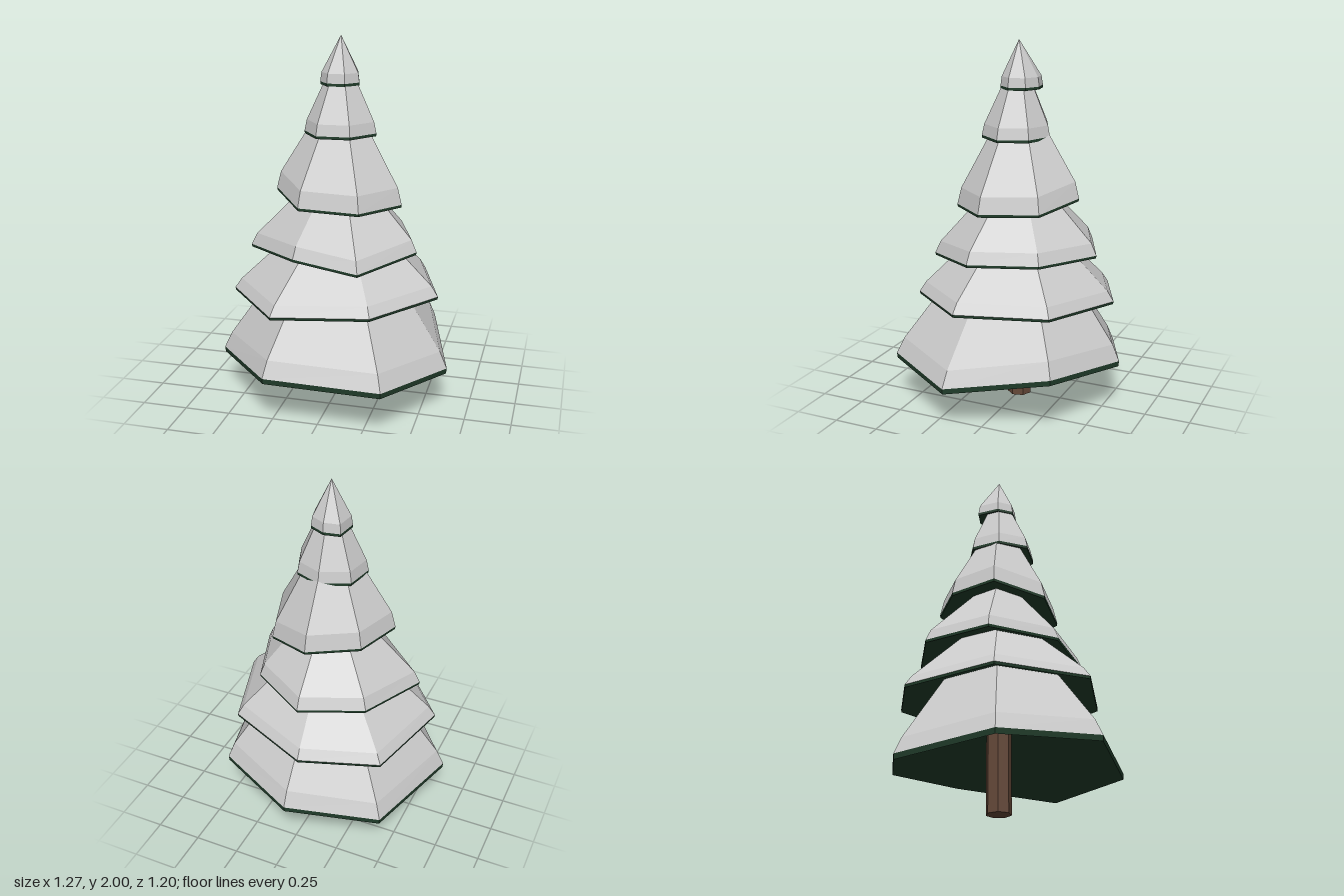
import * as THREE from 'three';

const snow = new THREE.MeshStandardMaterial({ color: 0xcccccc, flatShading: true });
const green = new THREE.MeshStandardMaterial({ color: 0x213e2b, flatShading: true });
const bark = new THREE.MeshStandardMaterial({ color: 0x654838, flatShading: true });
const SIDES = 7;

// Each tier: rim corners [x, z] clockwise from the back, rim heights, rim thickness,
// shoulder rise and the height where its slopes meet.
const tiers = [
  { rim: [[0.02, -0.6], [0.48, -0.385], [0.635, 0.16], [0.36, 0.595], [-0.27, 0.6], [-0.64, 0.165], [-0.465, -0.4]],
    y: [0.265, 0.3, 0.215, 0.24, 0.25, 0.205, 0.185], thick: 0.03, rise: 0.09, peak: 1.2 },
  { rim: [[-0.04, -0.54], [0.42, -0.35], [0.57, 0.125], [0.275, 0.485], [-0.24, 0.545], [-0.575, 0.14], [-0.445, -0.365]],
    y: [0.595, 0.62, 0.625, 0.61, 0.59, 0.58, 0.565], thick: 0.015, rise: 0.055, peak: 1.17 },
  { rim: [[0, -0.45], [0.32, -0.25], [0.445, 0.105], [0.195, 0.425], [-0.165, 0.37], [-0.49, 0.085], [-0.33, -0.305]],
    y: [0.855, 0.86, 0.86, 0.82, 0.855, 0.825, 0.855], thick: 0.015, rise: 0.065, peak: 1.38 },
  { rim: [[0, -0.345], [0.25, -0.22], [0.355, 0.08], [0.17, 0.295], [-0.155, 0.3], [-0.34, 0.07], [-0.25, -0.19]],
    y: [1.16, 1.115, 1.11, 1.105, 1.115, 1.16, 1.155], thick: 0.015, rise: 0.09, peak: 1.79 },
  { rim: [[0, -0.175], [0.145, -0.115], [0.205, 0.04], [0.095, 0.18], [-0.085, 0.19], [-0.185, 0.055], [-0.155, -0.105]],
    y: Array(SIDES).fill(1.48), thick: 0.015, rise: 0.06, peak: 1.95 },
  { rim: [[0, -0.112], [0.085, -0.07], [0.107, 0.02], [0.045, 0.092], [-0.05, 0.097], [-0.105, 0.025], [-0.09, -0.095]],
    y: Array(SIDES).fill(1.742), thick: 0.015, rise: 0.05, peak: 2 },
];

// Faceted skin through rings of points, listed from the underside outward and up.
function loft(rings) {
  const pos = [];
  const tri = (a, b, c) => {
    if (a.distanceTo(b) > 1e-6 && b.distanceTo(c) > 1e-6 && c.distanceTo(a) > 1e-6)
      for (const p of [a, b, c]) pos.push(p.x, p.y, p.z);
  };
  for (let r = 0; r < rings.length - 1; r++) {
    const a = rings[r], b = rings[r + 1];
    for (let i = 0; i < SIDES; i++) {
      const j = (i + 1) % SIDES;
      tri(a[j], a[i], b[i]);
      tri(a[j], b[i], b[j]);
    }
  }
  const geo = new THREE.BufferGeometry();
  geo.setAttribute('position', new THREE.Float32BufferAttribute(pos, 3));
  geo.computeVertexNormals();
  return geo;
}

function add(parent, name, geo, mat) {
  const mesh = new THREE.Mesh(geo, mat);
  mesh.name = name;
  parent.add(mesh);
  return mesh;
}

function makeTier(t) {
  const group = new THREE.Group();
  const ring = (scale, lift) => t.rim.map(([x, z], i) => new THREE.Vector3(x * scale, t.y[i] + lift, z * scale));
  const point = (y) => t.rim.map(() => new THREE.Vector3(0.003, y, 0.003));
  const meanY = t.y.reduce((s, v) => s + v, 0) / SIDES;
  const meanR = t.rim.reduce((s, [x, z]) => s + Math.hypot(x, z), 0) / SIDES;
  // hollow underside and the thin rim below the snow
  add(group, 'branches', loft([point(meanY + 0.38 * meanR), ring(0.995, 0), ring(1, t.thick)]), green);
  // bevelled edge, then the long slope
  add(group, 'snow', loft([ring(1, t.thick), ring(0.935, t.thick + t.rise), point(t.peak)]), snow);
  return group;
}

export function createModel() {
  const model = new THREE.Group();
  model.name = 'snowyTree';

  // trunk, a corner pointing to the back
  const trunk = add(model, 'trunk', new THREE.CylinderGeometry(0.068, 0.068, 0.52, SIDES), bark);
  trunk.position.y = 0.26;
  trunk.rotation.y = Math.PI;

  tiers.forEach((t, i) => {
    const tier = makeTier(t);
    tier.name = `tier${i + 1}`;
    model.add(tier);
  });
  return model;
}
